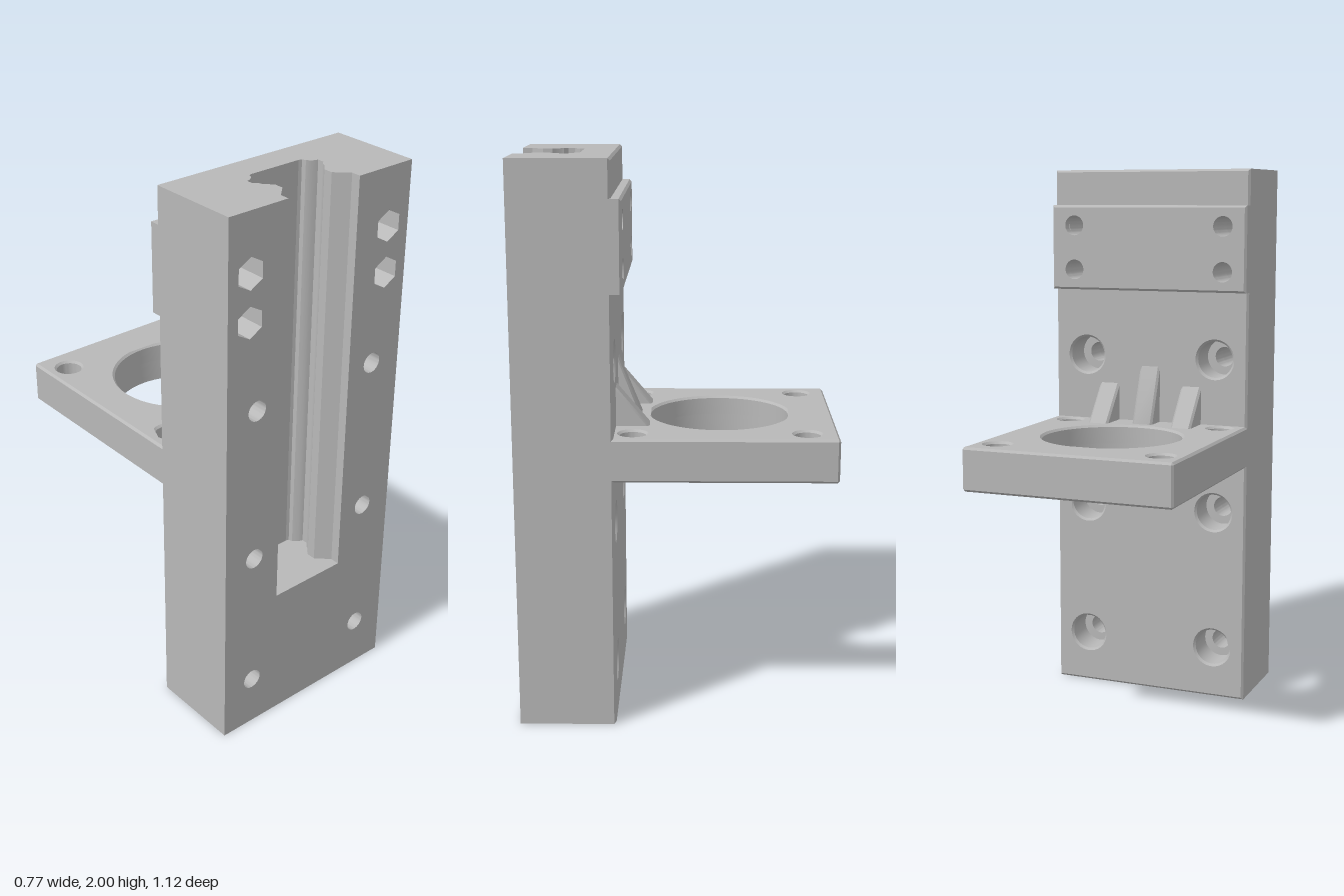
import * as THREE from 'three';
import { toCreasedNormals } from 'three/addons/utils/BufferGeometryUtils.js';

const grey = new THREE.MeshStandardMaterial({ color: 0xb8b8b8 });
grey.name = 'grey plastic';

const HALF = 0.385;   // half width shared by body, pad and plate
const CH = 0.008;     // edge chamfer
const rect = (x0, y0, x1, y1) => [[x0, y0], [x1, y0], [x1, y1], [x0, y1]];

// A slab cut from an outline with round (or hexagonal) holes [x, y, r, sides].
// 'chamfer' narrows the outer edge on the low or high face; 'flare' widens the holes there.
function slab(outline, holes, z0, z1, chamfer = null, flare = false) {
  const shape = new THREE.Shape(outline.map(([x, y]) => new THREE.Vector2(x, y)));
  for (const [x, y, r, n = 40] of holes) {
    const pts = [];
    for (let i = 0; i < n; i++) {
      const a = (i / n) * Math.PI * 2 + Math.PI / 2;
      pts.push(new THREE.Vector2(x + r * Math.cos(a), y + r * Math.sin(a)));
    }
    shape.holes.push(new THREE.Path(pts));
  }
  const geo = new THREE.ExtrudeGeometry(shape, { depth: z1 - z0, bevelEnabled: false });
  geo.translate(0, 0, z0);
  if (chamfer) {
    const xs = outline.map(p => p[0]), ys = outline.map(p => p[1]);
    const p = geo.attributes.position;
    const face = chamfer === 'low' ? z0 : z1;
    for (let i = 0; i < p.count; i++) {
      if (Math.abs(p.getZ(i) - face) > 1e-5) continue;
      let x = p.getX(i), y = p.getY(i);
      const h = flare && holes.find(q => Math.abs(Math.hypot(x - q[0], y - q[1]) - q[2]) < 1e-4);
      if (h) {
        const k = 1 + CH / h[2];
        x = h[0] + (x - h[0]) * k;
        y = h[1] + (y - h[1]) * k;
      }
      x = THREE.MathUtils.clamp(x, Math.min(...xs) + CH, Math.max(...xs) - CH);
      y = THREE.MathUtils.clamp(y, Math.min(...ys) + CH, Math.max(...ys) - CH);
      p.setXY(i, x, y);
    }
  }
  return geo;
}

export function createModel() {
  const model = new THREE.Group();
  const add = (parent, name, geo) => {
    const mesh = new THREE.Mesh(toCreasedNormals(geo, 0.5), grey);
    mesh.name = name;
    parent.add(mesh);
  };
  const group = name => {
    const g = new THREE.Group();
    g.name = name;
    model.add(g);
    return g;
  };

  // Upright body: layers from back to front
  const mirror = (x, ys, r, n) => ys.flatMap(y => [[x, y, r, n], [-x, y, r, n]]);
  const screws = r => mirror(0.258, [0.195, 0.725, 1.305], r);
  const nuts = (r, n) => mirror(0.295, [1.63, 1.795], r, n);
  const full = rect(-HALF, 0, HALF, 2);
  const slotted = [[-HALF, 0], [HALF, 0], [HALF, 2], [0.15, 2], [0.15, 0.515],
    [-0.15, 0.515], [-0.15, 2], [-HALF, 2]];
  const body = group('body');
  add(body, 'bodyBackFace', slab(full, [...screws(0.068), ...nuts(0.037)], 0.215, 0.215 + CH, 'low', true));
  add(body, 'bodyCounterbores', slab(full, [...screws(0.068), ...nuts(0.037)], 0.215 + CH, 0.334));
  add(body, 'bodyMiddle', slab(slotted, [...screws(0.037), ...nuts(0.037)], 0.334, 0.42));
  add(body, 'bodyFront', slab(slotted, [...screws(0.037), ...nuts(0.056, 6)], 0.42, 0.56));

  // Profiled lips along both channel walls, extruded upward
  const lips = {
    frontLip: [[0.15, 0.526], [0.104, 0.482], [0.104, 0.449], [0.131, 0.42], [0.134, 0.41], [0.15, 0.396]],
    rearLip: [[0.15, 0.372], [0.132, 0.366], [0.116, 0.351], [0.112, 0.337], [0.1, 0.334], [0.15, 0.334]],
  };
  const channel = group('channel');
  for (const [name, pts] of Object.entries(lips)) {
    for (const s of [1, -1]) {
      const geo = slab(pts.map(([x, z]) => [s * x, -z]), [], 0.515, 2);
      geo.rotateX(-Math.PI / 2);
      add(channel, name, geo);
    }
  }

  // Raised clamp pad on the back
  const pad = group('clampPad');
  const padOutline = rect(-HALF, 1.555, HALF, 1.87);
  add(pad, 'padFace', slab(padOutline, nuts(0.037), 0.18, 0.18 + CH, 'low'));
  add(pad, 'padBase', slab(padOutline, nuts(0.037), 0.18 + CH, 0.225));

  // Horizontal motor plate, built flat and laid down
  const plate = group('motorPlate');
  const c = CH;
  const plateOutline = [[-HALF, -0.225], [HALF, -0.225], [HALF, 0.56 - c], [HALF - c, 0.56],
    [-HALF + c, 0.56], [-HALF, 0.56 - c]];
  const bore = [0, 0.152, 0.25, 80];
  const bolts = r => [bore, ...mirror(0.302, [0.452, -0.152], r)];
  const layers = [
    ['plateUnderside', 0.037, 0.905, 0.905 + c, 'low', false],
    ['plateCore', 0.037, 0.905 + c, 0.99, null, false],
    ['plateCounterbores', 0.046, 0.99, 1.06 - c, null, false],
    ['plateTop', 0.046, 1.06 - c, 1.06, 'high', true],
  ];
  for (const [name, r, y0, y1, chamfer, flare] of layers) {
    const geo = slab(plateOutline, bolts(r), y0, y1, chamfer, flare);
    geo.rotateX(-Math.PI / 2);
    add(plate, name, geo);
  }

  // Three triangular ribs with bevelled flanks between plate and body
  const ribs = group('ribs');
  for (const [x, top, tip] of [[-0.165, 1.2, 0.097], [0, 1.27, 0.13], [0.165, 1.2, 0.097]]) {
    const rib = new THREE.Shape([[0.225, 1.05], [0.225, top], [0.215, top], [tip, 1.06], [tip, 1.05]]
      .map(([z, y]) => new THREE.Vector2(-z, y)));
    const geo = new THREE.ExtrudeGeometry(rib, {
      depth: 0.064, bevelSize: 0.008, bevelOffset: -0.008, bevelThickness: 0.008, bevelSegments: 1,
    });
    geo.translate(0, 0, -0.032);
    geo.rotateY(Math.PI / 2);
    geo.translate(x, 0, 0);
    add(ribs, 'rib', geo);
  }
  return model;
}
